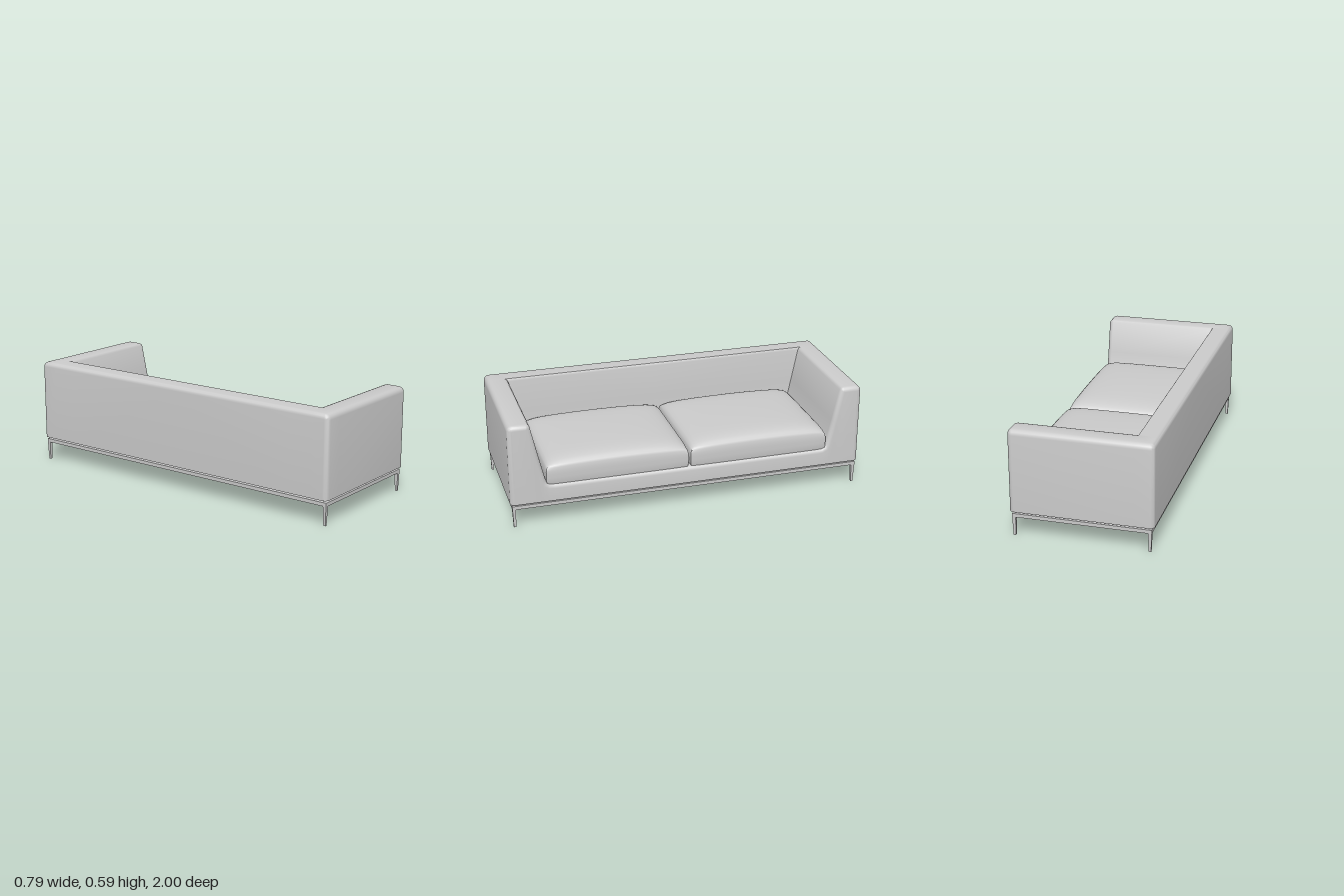
import * as THREE from 'three';
import { toCreasedNormals, mergeVertices } from 'three/addons/utils/BufferGeometryUtils.js';

const TOP = 0.592, BOTTOM = 0.138, HALF_X = 0.384, HALF_Z = 0.993;

const material = new THREE.MeshStandardMaterial({ color: 0xcccccc });
const shellMaterial = new THREE.MeshStandardMaterial({ color: 0xcccccc, side: THREE.DoubleSide });

function addMesh(parent, name, geometry, mat = material) {
  const mesh = new THREE.Mesh(geometry, mat);
  mesh.name = name;
  parent.add(mesh);
  return mesh;
}

// Inner slope of an arm from top to seat deck: [z, y]
const slope = [[0.889, TOP], [0.878, 0.588], [0.870, 0.577], [0.83, 0.40],
  [0.798, 0.26], [0.79, 0.244], [0.775, 0.237], [0.75, 0.235]];

// Full arm - deck - arm outline, from -z to +z
function bodyOutline() {
  const half = [[HALF_Z, BOTTOM]];
  const r = 0.03;
  for (let k = 0; k <= 5; k++) {
    const a = (k / 5) * Math.PI / 2;
    half.push([HALF_Z - r + r * Math.cos(a), TOP - r + r * Math.sin(a)]);
  }
  half.push(...slope);
  return [...half.map(([z, y]) => [-z, y]), [0, 0.235], ...half.reverse()];
}

// Moves every point of an outline inwards along its normal
function inset(points, d) {
  const direction = (a, b) => {
    const dz = b[0] - a[0], dy = b[1] - a[1], l = Math.hypot(dz, dy) || 1;
    return [dz / l, dy / l];
  };
  return points.map((p, i) => {
    const t1 = direction(points[Math.max(i - 1, 0)], points[Math.max(i, 1)]);
    const last = points.length - 1;
    const t2 = direction(points[Math.min(i, last - 1)], points[Math.min(i + 1, last)]);
    const tz = t1[0] + t2[0], ty = t1[1] + t2[1], l = Math.hypot(tz, ty) || 1;
    return [p[0] + (ty / l) * d, i === 0 || i === last ? BOTTOM : p[1] - (tz / l) * d];
  });
}

// Hollow upholstered shell: outlines lofted from back to front, open below
function bodyGeometry() {
  const outline = bodyOutline(), n = outline.length, r = 0.026;
  const stations = []; // [x, lowest height, inset]
  for (let k = 5; k >= 0; k--) {
    const a = (k / 5) * Math.PI / 2;
    stations.push([-HALF_X + r - r * Math.sin(a), TOP, r * (1 - Math.cos(a))]);
  }
  for (const [z, y] of slope) stations.push([-0.276 + (0.889 - z) * 0.25, y, 0]);
  for (let k = 0; k <= 5; k++) {
    const a = (k / 5) * Math.PI / 2;
    stations.push([HALF_X - r + r * Math.sin(a), 0, r * (1 - Math.cos(a))]);
  }
  const rows = stations.map(([x, low, d]) => {
    // the back merges with the arms along a mitre
    const raised = outline.map(([z, y], i) => {
      const isInner = Math.abs(z) < 0.9;
      return [z, isInner ? Math.max(y, low) : y];
    });
    return inset(raised, d).map(([z, y]) => [x, y, z]);
  });
  const drop = row => row.map(([x, , z]) => [x, BOTTOM, z]);
  rows.unshift(drop(rows[0]));
  rows.push(drop(rows[rows.length - 1]));

  const index = [];
  for (let j = 0; j < rows.length - 1; j++) {
    for (let i = 0; i < n - 1; i++) {
      const a = j * n + i, b = a + 1, c = a + n, d = c + 1;
      if (i < (n - 1) / 2) index.push(a, b, d, a, d, c);
      else index.push(a, b, c, b, d, c);
    }
  }
  const geometry = new THREE.BufferGeometry();
  geometry.setAttribute('position', new THREE.Float32BufferAttribute(rows.flat(2), 3));
  geometry.setIndex(index);
  return toCreasedNormals(geometry, 0.6);
}

// Soft seat cushion: a box with a domed top and eased sides
function cushionGeometry(width, length) {
  const box = new THREE.BoxGeometry(2, 1, 2, 20, 5, 20);
  const p = box.attributes.position;
  for (let i = 0; i < p.count; i++) {
    const u = Math.sin(p.getX(i) * Math.PI / 2);
    const w = Math.sin(p.getZ(i) * Math.PI / 2);
    const v = p.getY(i) + 0.5;
    const dome = Math.sqrt(Math.max(0, (1 - u ** 8) * (1 - w ** 8)));
    const ease = 1 - 0.012 * (2 * v - 1) ** 4;
    p.setXYZ(i,
      u * width / 2 * ease * (1 - 0.012 * w ** 8),
      v * (0.093 + 0.04 * dome + 0.018 * (1 - u * u * 0.5) * (1 - w * w)),
      w * length / 2 * ease * (1 - 0.012 * u ** 8));
  }
  box.deleteAttribute('normal');
  box.deleteAttribute('uv');
  return toCreasedNormals(mergeVertices(box, 1e-5), 0.8);
}

export function createModel() {
  const sofa = new THREE.Group();
  sofa.name = 'sofa';

  addMesh(sofa, 'body', bodyGeometry(), shellMaterial);

  // Two seat cushions
  for (const side of [1, -1]) {
    const cushion = addMesh(sofa, side > 0 ? 'leftCushion' : 'rightCushion', cushionGeometry(0.645, 0.798));
    cushion.position.set(0.057, 0.232, side * 0.4);
  }

  // Base frame of four rails on tapered square legs
  const base = new THREE.Group();
  base.name = 'baseFrame';
  sofa.add(base);
  const railX = 0.361, railZ = 0.973, thick = 0.02;
  const legGeometry = new THREE.CylinderGeometry(0.0137, 0.0085, 0.106, 4, 1)
    .rotateY(Math.PI / 4).toNonIndexed();
  legGeometry.computeVertexNormals();
  for (const s of [1, -1]) {
    addMesh(base, 'longRail', new THREE.BoxGeometry(thick, thick, 2 * railZ + thick))
      .position.set(s * railX, 0.115, 0);
    addMesh(base, 'endRail', new THREE.BoxGeometry(2 * railX - thick, thick, thick))
      .position.set(0, 0.115, s * railZ);
    for (const t of [1, -1]) {
      addMesh(base, 'leg', legGeometry).position.set(s * railX, 0.053, t * railZ);
    }
  }

  sofa.rotation.y = 0.0138; // slight turn of the whole piece
  const model = new THREE.Group();
  model.name = 'model';
  model.add(sofa);
  return model;
}
